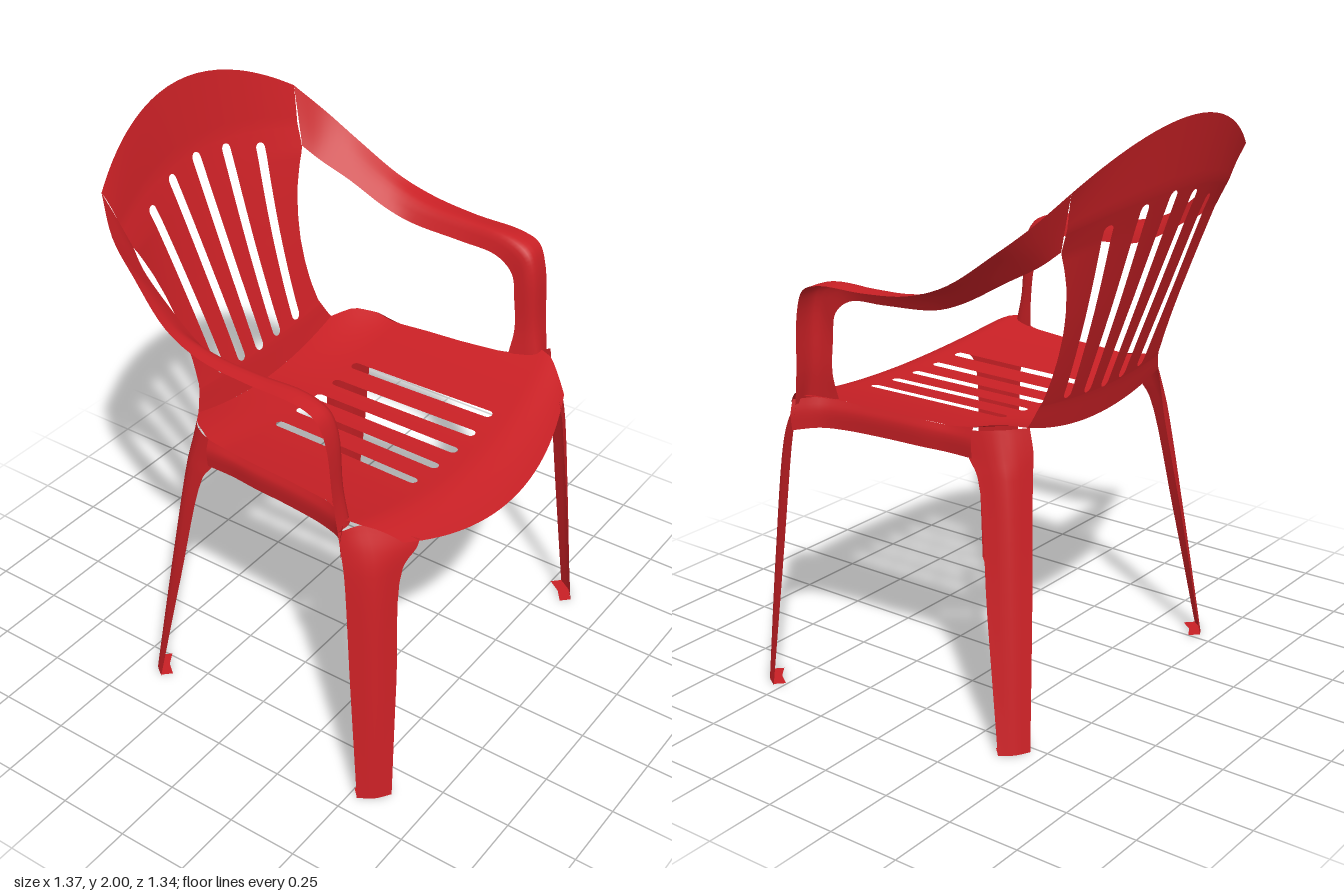
import * as THREE from 'three';
import { mergeGeometries, mergeVertices } from 'three/addons/utils/BufferGeometryUtils.js';

const plastic = new THREE.MeshStandardMaterial({ color: 0xc82025, side: THREE.DoubleSide });
const { lerp, clamp, smoothstep } = THREE.MathUtils;

// piecewise linear lookup through [input, output] pairs
const lookup = (pairs) => (t) => {
  let i = 1;
  while (i < pairs.length - 1 && t > pairs[i][0]) i++;
  const [a, b] = [pairs[i - 1], pairs[i]];
  return lerp(a[1], b[1], clamp((t - a[0]) / (b[0] - a[0]), 0, 1));
};

// sheet of quads from point(u, v); us and vs are the sampled values
function sheet(point, us, vs, flip = false) {
  const pos = [], idx = [], n = us.length;
  for (const v of vs) for (const u of us) pos.push(...point(u, v));
  for (let j = 0; j < vs.length - 1; j++) {
    for (let i = 0; i < n - 1; i++) {
      const a = j * n + i, b = a + 1, c = a + n, d = c + 1;
      idx.push(...(flip ? [a, c, b, b, c, d] : [a, b, c, b, d, c]));
    }
  }
  const g = new THREE.BufferGeometry();
  g.setAttribute('position', new THREE.Float32BufferAttribute(pos, 3));
  g.setIndex(idx);
  return g;
}

const steps = (n) => Array.from({ length: n + 1 }, (_, i) => i / n);

function finish(name, geometry) {
  const g = mergeVertices(geometry, 1e-5);
  g.computeVertexNormals();
  const mesh = new THREE.Mesh(g, plastic);
  mesh.name = name;
  return mesh;
}

// panel cut by slots: strips run between slot edges, and close up beyond the slot ends
function slottedPanel(name, point, width, slots, flip) {
  const rows = new Set(steps(48));
  for (const s of slots) {
    for (const k of [0, 0.1, 0.35, 0.65, 1]) {
      rows.add(s.from + k * s.half);
      rows.add(s.to - k * s.half);
    }
  }
  const vs = [...rows].sort((a, b) => a - b);
  const slotEdge = (s, sign) => (t) => {
    const k = clamp((t - s.from) / (s.to - s.from), 0, 1);
    const e = clamp(Math.min(t - s.from, s.to - t) / s.half, 0, 1);
    return lerp(s.x0, s.x1, k ** 1.4) + sign * s.half * Math.sqrt(1 - (1 - e) ** 2);
  };
  const edges = [(t) => -width(t)];
  for (const s of slots) edges.push(slotEdge(s, -1), slotEdge(s, 1));
  edges.push(width);
  const strips = [];
  for (let i = 0; i < edges.length; i += 2) {
    const outer = i === 0 || i === edges.length - 2;
    strips.push(sheet((u, t) => point(lerp(edges[i](t), edges[i + 1](t), u), t),
      steps(outer ? 8 : 3), vs, flip));
  }
  return finish(name, mergeGeometries(strips));
}

const mirrorSlots = (list) => {
  const all = [];
  for (const [x0, x1, from, to, half] of list) {
    all.push({ x0, x1, from, to, half });
    if (x0 > 0) all.push({ x0: -x0, x1: -x1, from, to, half });
  }
  return all.sort((a, b) => a.x0 - b.x0);
};

// smooth sheet through rails that share the same number of control points
function loft(name, rails, side, n) {
  const curves = rails.map((r) => new THREE.CatmullRomCurve3(
    r.map((p) => new THREE.Vector3(...p)), false, 'centripetal'));
  const point = (u, v) => {
    const cross = new THREE.CatmullRomCurve3(curves.map((c) => c.getPoint(v)), false, 'centripetal');
    const p = cross.getPoint(u);
    return [p.x * side, p.y, p.z];
  };
  return finish(name, sheet(point, steps(8), steps(n), side < 0));
}

// dished seat with a rolled front edge
const seatHeight = (x, z) => {
  const rear = 1 - smoothstep(z, -0.33, -0.13);
  const roll = clamp((z - 0.5) / 0.17, 0, 1) ** 2;
  return 0.975 + (0.22 + 0.2 * rear) * x * x - 0.095 * roll * (1 - 1.6 * x * x);
};
const seatPoint = (x, s) => {
  const z = -0.33 + s;
  return [x, seatHeight(x, z), z - 0.4 * x * x * s ** 4];
};
const seatWidth = lookup([[0, 0.38], [0.05, 0.45], [0.13, 0.49], [0.23, 0.49], [0.33, 0.5], [0.48, 0.51],
  [0.66, 0.53], [0.73, 0.56], [0.79, 0.6], [0.88, 0.58], [0.94, 0.54], [1, 0.5]]);

// reclined back, arched along the top and curved around the sitter
const backDepth = lookup([[0.975, -0.33], [1.07, -0.355], [1.4, -0.48], [1.78, -0.62], [2, -0.672]]);
const backPoint = (x, t) => {
  const y = lerp(0.975, 2, t);
  return [x, y + 0.42 * x * x * (1 - t) ** 8 - 0.68 * x * x * t ** 3,
    backDepth(y) + 0.4 * Math.min(1, 1.5 * t) * x * x];
};
const backWidth = lookup([[0, 0.38], [0.06, 0.36], [0.12, 0.338], [0.2, 0.33], [0.28, 0.331], [0.36, 0.34],
  [0.45, 0.36], [0.54, 0.388], [0.62, 0.42], [0.69, 0.45], [1, 0.5]]);

// rails: outer edge, crown, inner edge; from the back round to the front post
const armRails = [
  [[0.5, 1.83, -0.572], [0.565, 1.73, -0.48], [0.6, 1.64, -0.37], [0.64, 1.53, -0.22], [0.655, 1.48, -0.08],
    [0.655, 1.46, 0.1], [0.655, 1.455, 0.28], [0.655, 1.43, 0.35], [0.648, 1.35, 0.385], [0.64, 1.15, 0.405], [0.635, 1.03, 0.42]],
  [[0.475, 1.737, -0.537], [0.525, 1.66, -0.46], [0.56, 1.6, -0.36], [0.59, 1.51, -0.22], [0.59, 1.47, -0.08],
    [0.59, 1.46, 0.1], [0.58, 1.455, 0.27], [0.575, 1.42, 0.35], [0.572, 1.35, 0.38], [0.57, 1.15, 0.395], [0.57, 1.03, 0.42]],
  [[0.45, 1.637, -0.502], [0.475, 1.59, -0.445], [0.505, 1.53, -0.34], [0.53, 1.45, -0.2], [0.545, 1.415, -0.1],
    [0.555, 1.4, 0.1], [0.555, 1.39, 0.24], [0.555, 1.34, 0.305], [0.548, 1.25, 0.325], [0.545, 1.13, 0.335], [0.53, 1.04, 0.325]],
];
const frontLegRails = [
  [[0.685, 0, 0.53], [0.66, 0.45, 0.485], [0.637, 0.87, 0.445], [0.635, 0.95, 0.432], [0.635, 1.03, 0.42]],
  [[0.652, 0, 0.58], [0.625, 0.45, 0.553], [0.59, 0.87, 0.525], [0.575, 0.95, 0.51], [0.56, 1.035, 0.47]],
  [[0.605, 0, 0.615], [0.555, 0.45, 0.592], [0.5, 0.87, 0.57], [0.45, 0.93, 0.588], [0.44, 0.96, 0.592]],
];
const rearLegRails = [
  [[0.605, 0, -0.38], [0.555, 0.45, -0.302], [0.5, 0.88, -0.225], [0.495, 0.94, -0.185], [0.49, 1.02, -0.15]],
  [[0.573, 0, -0.422], [0.52, 0.45, -0.37], [0.47, 0.88, -0.315], [0.462, 0.95, -0.297], [0.45, 1.035, -0.275]],
  [[0.525, 0, -0.45], [0.455, 0.45, -0.405], [0.385, 0.88, -0.355], [0.375, 0.95, -0.35], [0.375, 1.035, -0.335]],
];

// flat foot pad reaching inward from the bottom of a leg
function footPad(name, rails, side) {
  const inward = -Math.sign(rails[0][0][2]) * 0.03;
  const ends = rails.map((r) => r[0]);
  return finish(name, sheet((u, v) => {
    const [x, y, z] = ends[u];
    return [side * (x - 0.03 * v), y + 0.004, z + inward * v];
  }, [0, 1, 2], [0, 1], side < 0));
}

// skirt hanging from the side rim of the seat
const rim = [[0.49, -0.2], [0.49, -0.1], [0.5, 0], [0.51, 0.15], [0.53, 0.3], [0.56, 0.38], [0.632, 0.435]];
const skirtRails = [
  rim.map(([x, z]) => [x, Math.min(seatHeight(x, z), 1.045), z]),
  rim.map(([x, z]) => [x + 0.012, 1.0, z]),
  rim.map(([x, z]) => [x + 0.008, 0.94, z]),
];

export function createModel() {
  const chair = new THREE.Group();
  chair.name = 'chair';

  chair.add(slottedPanel('seat', seatPoint, seatWidth, mirrorSlots([
    [0, 0, 0.205, 0.78, 0.017], [0.105, 0.113, 0.205, 0.78, 0.017], [0.22, 0.231, 0.205, 0.78, 0.017],
  ]), true));

  chair.add(slottedPanel('backrest', backPoint, backWidth, mirrorSlots([
    [0, 0, 0.1, 0.766, 0.02], [0.1, 0.143, 0.105, 0.752, 0.019], [0.212, 0.288, 0.11, 0.725, 0.019],
  ]), false));

  for (const [label, side] of [['left', 1], ['right', -1]]) {
    chair.add(
      loft(label + 'Armrest', armRails, side, 50),
      loft(label + 'FrontLeg', frontLegRails, side, 24),
      loft(label + 'RearLeg', rearLegRails, side, 24),
      loft(label + 'SeatSkirt', skirtRails, side, 24),
      footPad(label + 'FrontFoot', frontLegRails, side),
      footPad(label + 'RearFoot', rearLegRails, side),
    );
  }
  return chair;
}
